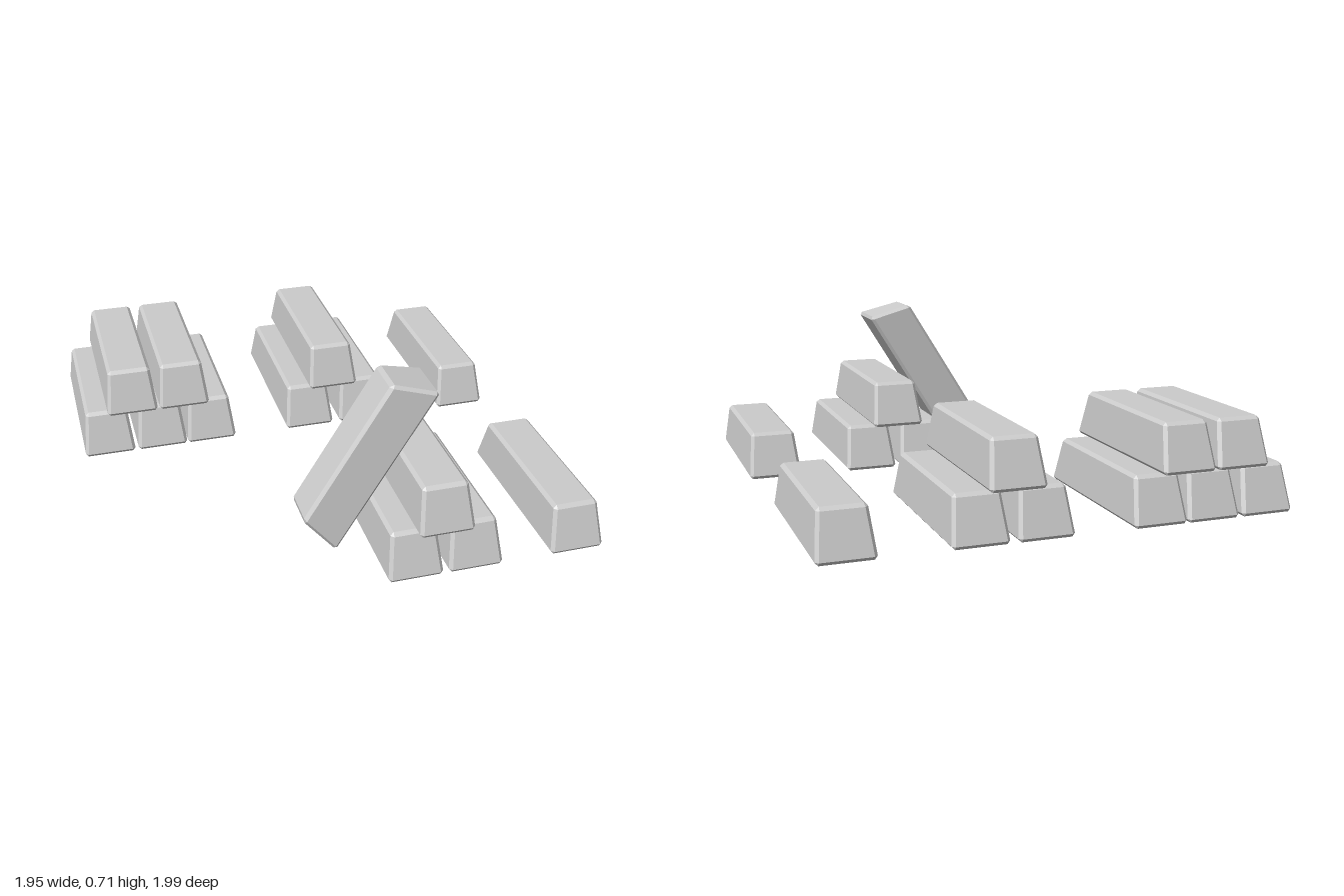
import * as THREE from 'three';
import { ConvexGeometry } from 'three/addons/geometries/ConvexGeometry.js';

const HEIGHT = 0.194, CHAMFER = 0.013;

// Tapered ingot with chamfered edges, standing on its wide face
function ingotGeometry() {
  const points = [];
  const add = (sx, sz, y, insetX, insetZ) => {
    const t = y / HEIGHT;
    const halfWidth = THREE.MathUtils.lerp(0.114, 0.093, t);
    const halfLength = THREE.MathUtils.lerp(0.395, 0.336, t);
    points.push(new THREE.Vector3(sx * (halfWidth - insetX), y, sz * (halfLength - insetZ)));
  };
  for (const sx of [-1, 1]) for (const sz of [-1, 1]) {
    for (const [flat, side] of [[0, CHAMFER], [HEIGHT, HEIGHT - CHAMFER]]) {
      add(sx, sz, flat, CHAMFER, CHAMFER);
      add(sx, sz, side, 0, CHAMFER);
      add(sx, sz, side, CHAMFER, 0);
    }
  }
  return new ConvexGeometry(points);
}

export function createModel() {
  const model = new THREE.Group();
  model.name = 'ingotPiles';
  const geometry = ingotGeometry();
  const material = new THREE.MeshStandardMaterial({ color: 0xcccccc, flatShading: true });

  const addBar = (parent, name, x, y, z) => {
    const bar = new THREE.Mesh(geometry, material);
    bar.name = name;
    bar.position.set(x, y, z);
    parent.add(bar);
    return bar;
  };

  // Stacks of parallel bars: x centres of the lower and upper rows
  const stacks = [
    { name: 'largeStack', z: -0.605, lower: [-0.862, -0.622, -0.393], upper: [-0.747, -0.512], upperY: 0.209 },
    { name: 'backStack', z: -0.605, lower: [0.079, 0.337], upper: [0.192], upperY: 0.209 },
    { name: 'frontStack', z: 0.605, lower: [0.174, 0.423], upper: [0.294], upperY: 0.202 },
    { name: 'backSingle', z: -0.605, lower: [0.834], upper: [] },
    { name: 'frontSingle', z: 0.605, lower: [0.858], upper: [] },
  ];
  for (const { name, z, lower, upper, upperY } of stacks) {
    const stack = new THREE.Group();
    stack.name = name;
    lower.forEach((x, i) => addBar(stack, `lowerBar${i + 1}`, x, 0.012, z));
    upper.forEach((x, i) => addBar(stack, `upperBar${i + 1}`, x, upperY, z));
    model.add(stack);
  }

  // Bar leaning on the front stack, wide face towards the stack
  const leaning = addBar(model, 'leaningBar', 0.138, 0.328, 0.604);
  leaning.rotation.set(0, Math.PI / 2, THREE.MathUtils.degToRad(58.4), 'ZYX');

  return model;
}
